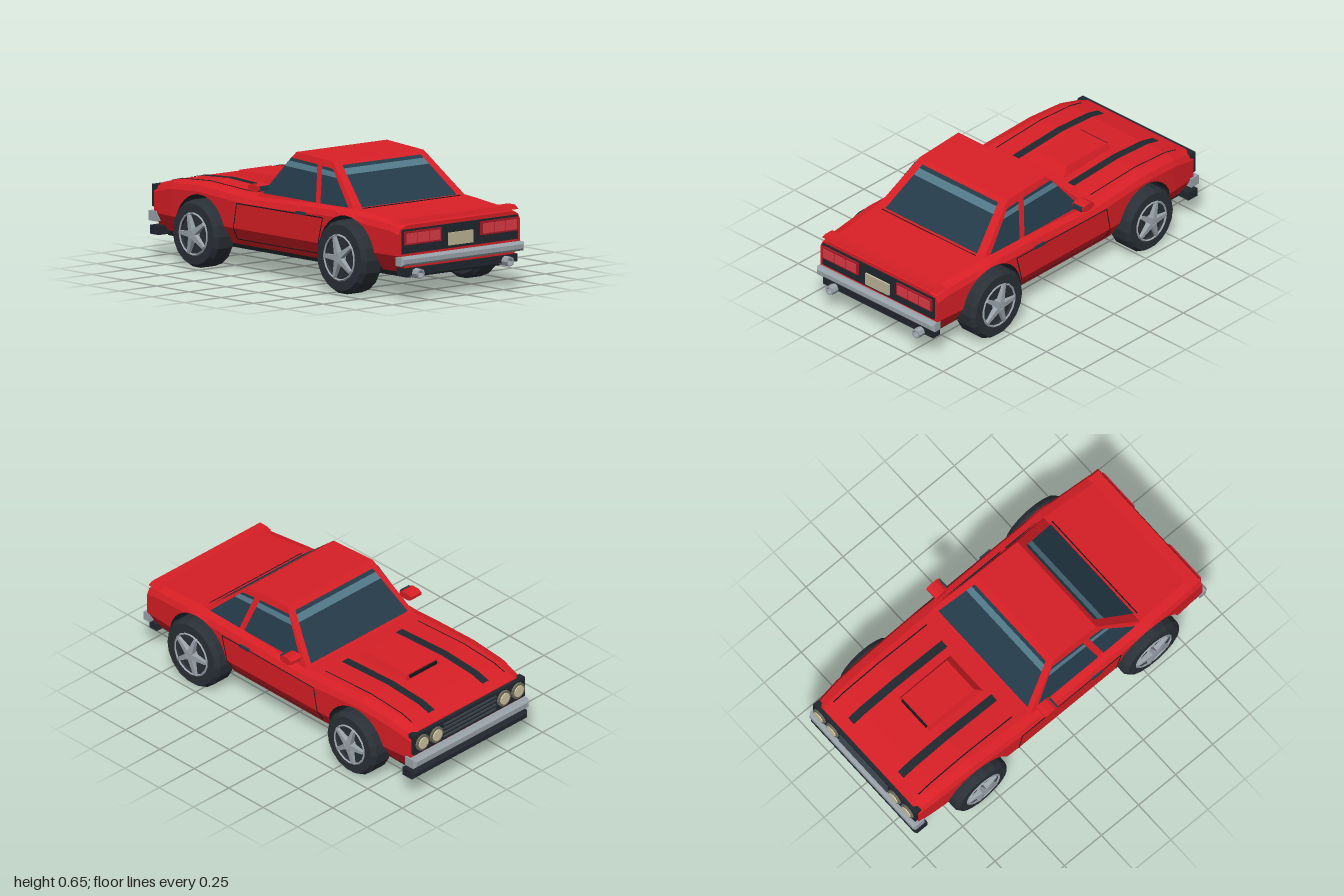
import * as THREE from 'three';

const RED = 0xd81f26, DARK = 0x20272e, GLASS = 0x253b4a, BAND = 0x52798a, SILVER = 0x9aa3ab, BLACK = 0x14181c;
const mat = (color, side = THREE.FrontSide) => new THREE.MeshStandardMaterial({ color, flatShading: true, side });

// piecewise linear lookup in a list of [z, value]
function lookup(list, z) {
  if (z <= list[0][0]) return list[0][1];
  for (let i = 1; i < list.length; i++) {
    const [a, va] = list[i - 1], [b, vb] = list[i];
    if (z <= b) return va + (vb - va) * (z - a) / (b - a);
  }
  return list[list.length - 1][1];
}
const TOP = [[-0.96, 0.39], [-0.82, 0.425], [-0.6, 0.438], [-0.35, 0.425], [-0.17, 0.415], [0.3, 0.432], [0.56, 0.435], [0.88, 0.41], [0.945, 0.395]];
const WIDTH = [[-0.96, 0.4], [-0.8, 0.415], [-0.3, 0.43], [0.6, 0.43], [0.945, 0.41]];
const AXLES = [
  { name: 'front', z: -0.58, y: 0.18, r: 0.175, arch: 0.2, face: 0.465 },
  { name: 'rear', z: 0.56, y: 0.195, r: 0.19, arch: 0.212, face: 0.475 },
];
const topY = z => lookup(TOP, z), halfW = z => lookup(WIDTH, z);
const sideX = (z, y) => halfW(z) - 0.055 * Math.max(0, 0.24 - y) / 0.09;

// skin a row of rings, optionally closed around and capped
function loft(rings, closed) {
  const pos = [], n = rings[0].length, last = rings.length - 1;
  const tri = (...p) => p.forEach(v => pos.push(...v));
  for (let i = 0; i < last; i++)
    for (let j = 0; j < (closed ? n : n - 1); j++) {
      const k = (j + 1) % n, a = rings[i][j], b = rings[i][k], c = rings[i + 1][k], d = rings[i + 1][j];
      tri(a, b, c); tri(a, c, d);
    }
  for (let j = 1; j < n - 1; j++) {
    tri(rings[last][0], rings[last][j], rings[last][j + 1]);
    tri(rings[0][0], rings[0][j + 1], rings[0][j]);
  }
  const g = new THREE.BufferGeometry();
  g.setAttribute('position', new THREE.Float32BufferAttribute(pos, 3));
  g.computeVertexNormals();
  return g;
}

export function createModel() {
  const car = new THREE.Group();
  car.name = 'car';
  const add = (name, geo, color, side, parent = car) => {
    const m = new THREE.Mesh(geo, mat(color, side));
    m.name = name;
    parent.add(m);
    return m;
  };
  // box given by its limits
  const box = (name, color, x0, x1, y0, y1, z0, z1) =>
    add(name, new THREE.BoxGeometry(x1 - x0, y1 - y0, z1 - z0), color)
      .position.set((x0 + x1) / 2, (y0 + y1) / 2, (z0 + z1) / 2);
  const quad = (name, color, a, b, c, d) => {
    const g = new THREE.BufferGeometry();
    g.setAttribute('position', new THREE.Float32BufferAttribute([a, b, c, a, c, d].flat(), 3));
    g.computeVertexNormals();
    add(name, g, color, THREE.DoubleSide);
  };
  // thin panel gap between two points
  const seam = (a, b) => {
    const path = new THREE.LineCurve3(new THREE.Vector3(...a), new THREE.Vector3(...b));
    add('panelGap', new THREE.TubeGeometry(path, 1, 0.003, 4), BLACK);
  };
  // bumper bar with chamfered ends and edges
  const bumper = (name, color, halfX, y0, y1, zIn, zOut) => {
    const dir = Math.sign(zOut - zIn), c = 0.012;
    const ring = (x, y0, y1, z) => [[x, y0, z], [x, y1, z], [-x, y1, z], [-x, y0, z]];
    const rings = [ring(halfX, y0, y1, zIn), ring(halfX, y0, y1, zOut - dir * c), ring(halfX - c, y0 + c, y1 - c, zOut)];
    add(name, loft(dir > 0 ? rings : rings.reverse(), true), color);
  };

  // body sections, with the wheel arches cut through the full width
  const zs = [...TOP.map(p => p[0]), -0.8, -0.3, 0.6];
  for (const a of AXLES) {
    for (let i = 0; i <= 14; i++) zs.push(a.z - a.arch * Math.cos(Math.PI * i / 14));
    zs.push(a.z - a.arch - 0.001, a.z + a.arch + 0.001);
  }
  zs.sort((a, b) => a - b);
  const floorY = z => {
    const a = AXLES.find(w => Math.abs(z - w.z) <= w.arch + 1e-6);
    return a ? a.y + Math.sqrt(Math.max(0, a.arch ** 2 - (z - a.z) ** 2)) : 0.15;
  };
  const sections = zs.map(z => {
    const t = topY(z), w = halfW(z), f = floorY(z);
    const half = [[sideX(z, f), f], [w, Math.max(0.24, f)], [w, Math.max(t - 0.045, f)], [w - 0.015, t - 0.015], [w - 0.06, t]];
    return [...half.map(p => [p[0], p[1], z]), ...half.reverse().map(p => [-p[0], p[1], z])];
  });
  add('body', loft(sections, false), RED);
  add('underbody', loft(sections.map(s => [s[9], s[0]]), false), DARK);
  box('floorPan', BLACK, -0.33, 0.33, 0.12, 0.152, -0.93, 0.92);

  // cabin
  const ring = (x, yr, zr, yf, zf) => [[x, yr, zr], [x, yf, zf], [-x, yf, zf], [-x, yr, zr]];
  add('cabin', loft([ring(0.38, 0.41, 0.585, 0.41, -0.19), ring(0.305, 0.642, 0.32, 0.66, 0.035)], true), RED);

  // glass with a light tint band, from lower edge a-b to upper edge d-c
  const glass = (name, a, b, c, d) => {
    const mix = (p, q, t) => p.map((v, i) => v + (q[i] - v) * t);
    [[0, 0.77, GLASS], [0.77, 0.92, BAND], [0.92, 1, GLASS]].forEach(([s, t, color]) =>
      quad(name, color, mix(a, d, s), mix(b, c, s), mix(b, c, t), mix(a, d, t)));
  };
  glass('rearWindow', [-0.32, 0.438, 0.559], [0.32, 0.438, 0.559], [0.265, 0.625, 0.344], [-0.265, 0.625, 0.344]);
  glass('windshield', [0.345, 0.43, -0.179], [-0.345, 0.43, -0.179], [-0.275, 0.635, 0.006], [0.275, 0.635, 0.006]);
  for (const s of [-1, 1]) {
    const p = (z, y) => [s * (0.387 - 0.3125 * (y - 0.41)), y, z];
    glass('doorWindow', p(0.27, 0.435), p(-0.14, 0.435), p(0.01, 0.63), p(0.215, 0.62));
    glass('quarterWindow', p(0.52, 0.438), p(0.305, 0.435), p(0.255, 0.617), p(0.34, 0.61));

    // hood stripes and hood gaps follow the hood
    const hood = [-0.9, -0.82, -0.6, -0.35, -0.27];
    for (let i = 0; i < 4; i++) {
      const z0 = hood[i], z1 = hood[i + 1], y0 = topY(z0) + 0.004, y1 = topY(z1) + 0.004;
      quad('hoodStripe', DARK, [s * 0.17, y0, z0], [s * 0.215, y0, z0], [s * 0.215, y1, z1], [s * 0.17, y1, z1]);
      seam([s * 0.33, y0 - 0.004, z0], [s * 0.33, y1 - 0.004, z1]);
    }

    // door outline, handle and mirror
    const door = [[0.33, 0.18], [0.345, 0.24], [0.38, 0.375], [-0.285, 0.37], [-0.31, 0.24], [-0.32, 0.18], [0.33, 0.18]]
      .map(([z, y]) => [s * sideX(z, y), y, z]);
    for (let i = 1; i < door.length; i++) seam(door[i - 1], door[i]);
    const side = (name, color, x0, x1, ...r) => box(name, color, Math.min(s * x0, s * x1), Math.max(s * x0, s * x1), ...r);
    side('doorHandle', GLASS, 0.42, 0.438, 0.372, 0.387, 0.18, 0.25);
    const mirror = add('mirror', new THREE.CylinderGeometry(0.028, 0.028, 0.075, 8), RED);
    mirror.geometry.rotateY(Math.PI / 8).rotateZ(Math.PI / 2).scale(1, 0.75, 1.6);
    mirror.position.set(s * 0.426, 0.472, -0.115);
    side('mirrorGlass', GLASS, 0.395, 0.457, 0.459, 0.485, -0.08, -0.07);

    // tail lights
    side('tailLight', 0xa81a26, 0.135, 0.38, 0.295, 0.365, 0.94, 0.962);
    for (let i = 0; i < 3; i++) side('tailLens', 0xdd3a45, 0.145 + i * 0.078, 0.215 + i * 0.078, 0.304, 0.355, 0.95, 0.967);

    // exhaust tip
    const pipe = [[0.017, -0.04], [0.026, -0.04], [0.026, 0.04], [0.018, 0.04], [0.018, -0.03], [0, -0.03]].map(p => new THREE.Vector2(...p));
    const exhaust = add('exhaust', new THREE.LatheGeometry(pipe, 8), SILVER, THREE.DoubleSide);
    exhaust.rotation.x = Math.PI / 2;
    exhaust.position.set(s * 0.302, 0.146, 0.955);

    // headlights
    for (const x of [0.24, 0.34]) {
      const disc = (name, r0, r1, h, color) => {
        const m = add(name, new THREE.CylinderGeometry(r0, r1, h, 12), color);
        m.rotation.x = -Math.PI / 2;
        m.position.set(s * x, 0.328, -0.98);
      };
      disc('headlightRing', 0.045, 0.047, 0.02, 0x6d6a5c);
      disc('headlight', 0.032, 0.04, 0.03, 0xcfc6a2);
    }

    // wheels: outer face points along +y before turning
    for (const a of AXLES) {
      const wheel = new THREE.Group(), r = a.r, w = 0.07;
      wheel.name = a.name + 'Wheel';
      const tyre = [[0, -w], [r * 0.88, -w], [r, -w + 0.02], [r, w - 0.025], [r * 0.9, w], [r * 0.64, w], [r * 0.6, w - 0.02], [0, w - 0.02]];
      add('tyre', new THREE.LatheGeometry(tyre.map(p => new THREE.Vector2(...p)), 18), 0x2a3037, THREE.FrontSide, wheel);
      const rim = add('rim', new THREE.TorusGeometry(r * 0.61, 0.006, 4, 18), SILVER, THREE.FrontSide, wheel);
      rim.rotation.x = Math.PI / 2;
      rim.position.y = w;
      const hub = add('hub', new THREE.CylinderGeometry(r * 0.12, r * 0.17, 0.04, 10), SILVER, THREE.FrontSide, wheel);
      hub.position.y = w - 0.005;
      for (let i = 0; i < 5; i++) {
        const g = new THREE.CylinderGeometry(0.011, 0.022, r * 0.5, 4, 1).rotateY(Math.PI / 4);
        g.rotateX(-Math.PI / 2).translate(0, w + 0.002, -r * 0.34).rotateY(i * Math.PI * 0.4);
        add('spoke', g, SILVER, THREE.FrontSide, wheel);
      }
      wheel.rotation.z = -s * Math.PI / 2;
      wheel.position.set(s * (a.face - w), a.y, a.z);
      car.add(wheel);
    }
  }

  // hood scoop with a forward opening
  const scoop = (x, y, zr, zf) => ring(x, y, zr, y, zf);
  add('hoodScoop', loft([scoop(0.13, 0.41, -0.28, -0.645), scoop(0.105, 0.468, -0.33, -0.635)], true), RED);
  box('scoopOpening', BLACK, -0.095, 0.095, 0.445, 0.461, -0.646, -0.62);

  // tail: panel, plate, spoiler, bumper
  seam([-0.33, 0.435, 0.575], [0.33, 0.435, 0.575]);
  box('tailPanel', DARK, -0.39, 0.39, 0.25, 0.375, 0.93, 0.952);
  box('plate', 0xbdb597, -0.082, 0.082, 0.265, 0.33, 0.945, 0.962);
  add('spoiler', loft([scoop(0.4, 0.402, 0.945, 0.87), scoop(0.385, 0.425, 0.935, 0.885)], true), RED);
  bumper('rearBumper', SILVER, 0.412, 0.19, 0.237, 0.925, 0.98);
  box('rearValance', DARK, -0.385, 0.385, 0.135, 0.175, 0.9, 0.953);

  // nose: grille and bumpers
  box('grille', DARK, -0.395, 0.395, 0.27, 0.385, -0.98, -0.94);
  for (let i = 0; i < 4; i++) box('grilleBar', 0x3a434c, -0.185, 0.185, 0.288 + i * 0.024, 0.296 + i * 0.024, -0.988, -0.97);
  bumper('frontBumper', SILVER, 0.41, 0.198, 0.25, -0.93, -1);
  bumper('frontLowerBumper', DARK, 0.41, 0.13, 0.176, -0.91, -0.99);
  return car;
}
